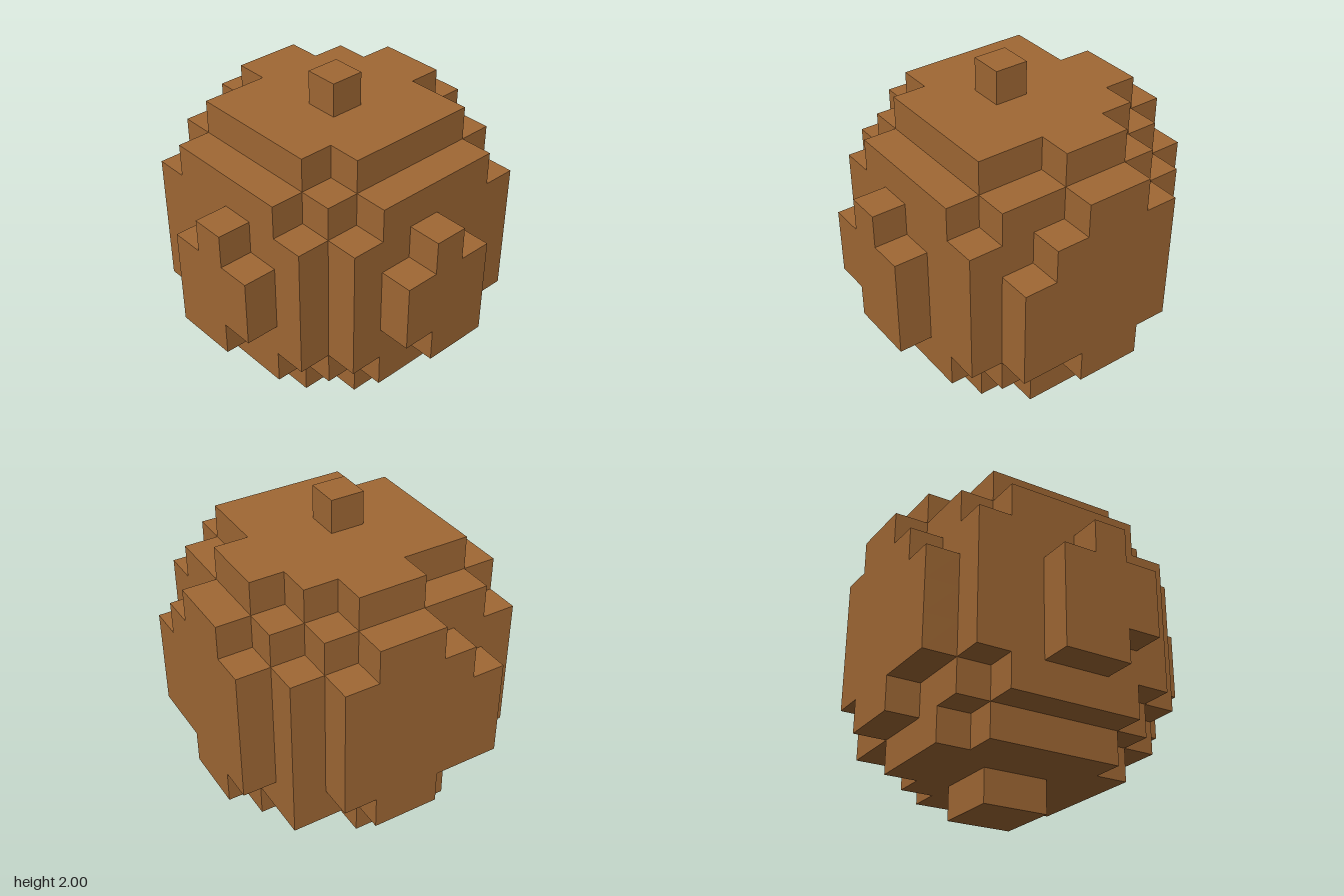
import * as THREE from 'three';
import { mergeGeometries } from 'three/addons/utils/BufferGeometryUtils.js';

const CELL = 0.2;
const HALF = 4; // columns run from -4 to 4 in x and z
const LAYERS = 10;

// A cell is solid when its centre lies in a slightly off-centre ball.
const OFFSET = 0.29;
const MIDDLE = 4.445;
const RADIUS_SQ = 21 + 2 * OFFSET * OFFSET;

function solid(i, j, k) {
  if (Math.abs(i) > HALF || Math.abs(k) > HALF || j < 0 || j >= LAYERS) return false;
  const dx = i - OFFSET, dy = j - MIDDLE, dz = k + OFFSET;
  return dx * dx + dy * dy + dz * dz <= RADIUS_SQ;
}

// One outward square for each of the six directions.
const SIDES = [
  [1, 0, 0], [-1, 0, 0], [0, 1, 0], [0, -1, 0], [0, 0, 1], [0, 0, -1],
].map((dir) => {
  const face = new THREE.PlaneGeometry(CELL, CELL).translate(0, 0, CELL / 2);
  if (dir[0]) face.rotateY(dir[0] * Math.PI / 2);
  if (dir[1]) face.rotateX(-dir[1] * Math.PI / 2);
  if (dir[2] < 0) face.rotateY(Math.PI);
  return { dir, face };
});

// Exposed faces of all cells between two layers.
function blockGeometry(from, to) {
  const faces = [];
  for (let j = from; j <= to; j++) {
    for (let i = -HALF; i <= HALF; i++) {
      for (let k = -HALF; k <= HALF; k++) {
        if (!solid(i, j, k)) continue;
        for (const { dir, face } of SIDES) {
          if (solid(i + dir[0], j + dir[1], k + dir[2])) continue;
          faces.push(face.clone().translate(i * CELL, (j + 0.5) * CELL, k * CELL));
        }
      }
    }
  }
  return mergeGeometries(faces);
}

export function createModel() {
  const model = new THREE.Group();
  model.name = 'blockBall';
  const brown = new THREE.MeshStandardMaterial({ color: 0xa06834 });
  brown.name = 'brown';

  // Foot, stepped body and top knob
  const parts = [['foot', 0, 0], ['body', 1, 8], ['topKnob', 9, 9]];
  for (const [name, from, to] of parts) {
    const mesh = new THREE.Mesh(blockGeometry(from, to), brown);
    mesh.name = name;
    model.add(mesh);
  }
  return model;
}
